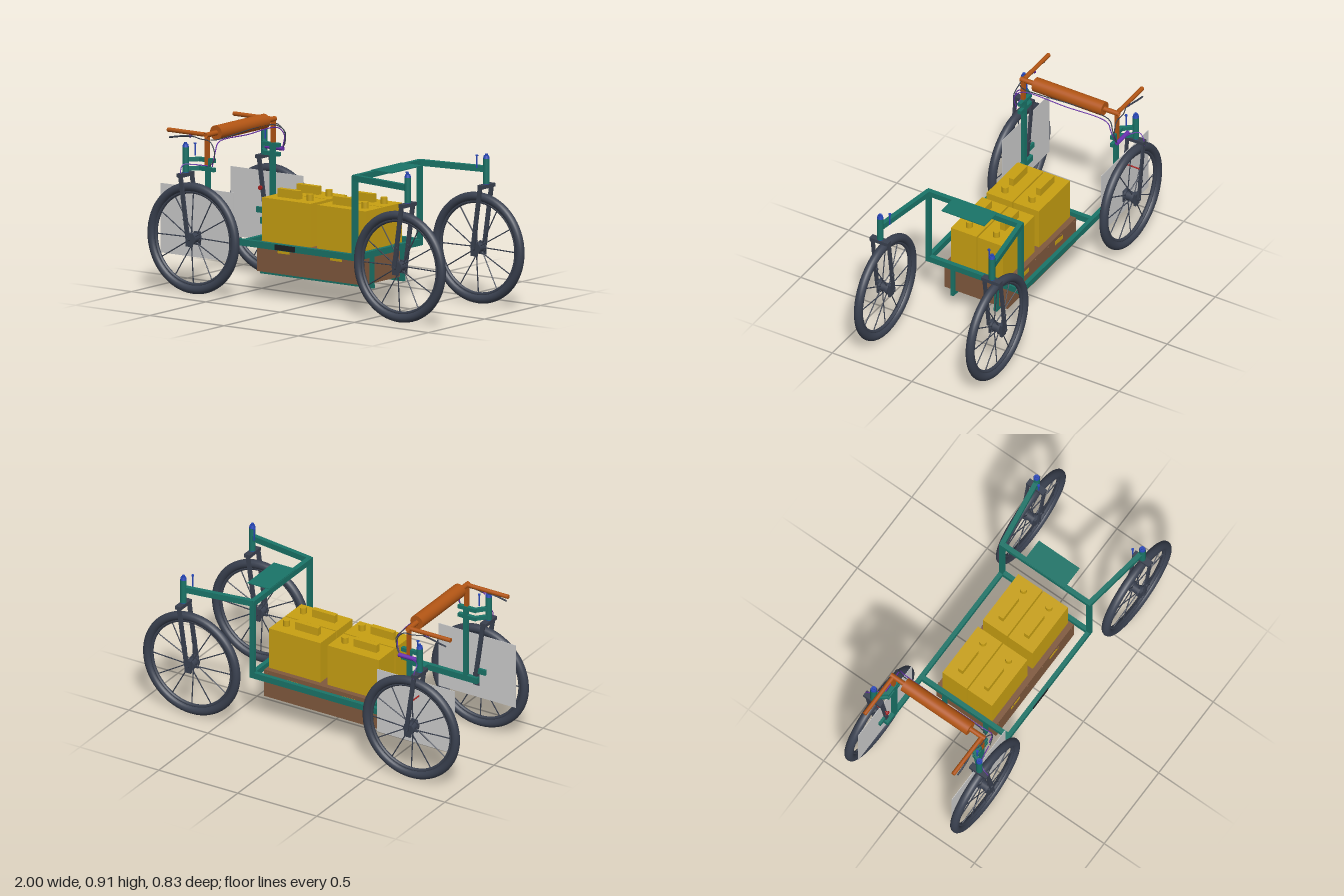
import * as THREE from 'three';

const mat = (color, side = THREE.FrontSide) => new THREE.MeshStandardMaterial({ color, side });
const TEAL = mat(0x1a7468), BROWN = mat(0x80593d), YELLOW = mat(0xc8a012), ORANGE = mat(0xb25514, THREE.DoubleSide);
const DARK = mat(0x3a4150), BLACK = mat(0x1c2024), BLUE = mat(0x2747b8), PURPLE = mat(0x6a30b0), RED = mat(0xa82020);
const GREY = mat(0xcccccc, THREE.DoubleSide);

const V = (a) => new THREE.Vector3(...a);

function add(parent, name, geometry, material, pos = [0, 0, 0]) {
  const m = new THREE.Mesh(geometry, material);
  m.name = name;
  m.position.set(...pos);
  parent.add(m);
  return m;
}

// axis-aligned block given by its minimum and maximum corner
function block(parent, name, material, a, b) {
  const s = b.map((v, i) => Math.abs(v - a[i]));
  return add(parent, name, new THREE.BoxGeometry(...s), material, a.map((v, i) => (v + b[i]) / 2));
}

// square tube between two points
function bar(parent, name, material, a, b, w = 0.03, h = w) {
  const p = V(a), q = V(b);
  const m = add(parent, name, new THREE.BoxGeometry(w, h, p.distanceTo(q)), material,
    p.clone().add(q).multiplyScalar(0.5).toArray());
  m.lookAt(q);
  return m;
}

// round rod between two points
function rod(parent, name, material, a, b, r, r2 = r, seg = 20, open = false) {
  const p = V(a), q = V(b);
  const m = add(parent, name, new THREE.CylinderGeometry(r2, r, p.distanceTo(q), seg, 1, open), material,
    p.clone().add(q).multiplyScalar(0.5).toArray());
  m.quaternion.setFromUnitVectors(new THREE.Vector3(0, 1, 0), q.sub(p).normalize());
  return m;
}

function cable(parent, name, material, points, r = 0.003) {
  const curve = new THREE.CatmullRomCurve3(points.map(V));
  return add(parent, name, new THREE.TubeGeometry(curve, 40, r, 6), material);
}

function wheel() {
  const g = new THREE.Group();
  g.name = 'wheel';
  add(g, 'tyre', new THREE.TorusGeometry(0.28, 0.0245, 16, 64), DARK);
  add(g, 'rim', new THREE.TorusGeometry(0.253, 0.01, 8, 64), DARK);
  rod(g, 'hub', DARK, [0, 0, -0.022], [0, 0, 0.022], 0.026);
  for (const z of [-0.024, 0.024]) rod(g, 'hubFlange', DARK, [0, 0, z - 0.006], [0, 0, z + 0.006], 0.033);
  rod(g, 'axle', DARK, [0, 0, -0.06], [0, 0, 0.06], 0.009);
  for (let i = 0; i < 12; i++) {
    const a = (i / 12) * Math.PI * 2, c = Math.cos(a), s = Math.sin(a);
    rod(g, 'spoke', DARK, [c * 0.025, s * 0.025, i % 2 ? 0.018 : -0.018], [c * 0.256, s * 0.256, 0], 0.0032, 0.0032, 6);
  }
  return g;
}

// wheel with its fork and steering head; sx, sz choose the corner
function corner(parent, sx, sz) {
  const g = new THREE.Group();
  g.name = (sx > 0 ? 'front' : 'rear') + 'WheelAssembly';
  parent.add(g);
  const x = 0.695 * sx, z = 0.351 * sz, hx = 0.748 * sx;
  const w = wheel();
  w.position.set(x, 0.306, z);
  g.add(w);
  block(g, 'forkCrown', DARK, [hx - 0.018, 0.64, z - 0.057], [hx + 0.018, 0.66, z + 0.057]);
  for (const s of [-1, 1]) {
    const lz = z + s * 0.051;
    bar(g, 'forkLeg', DARK, [hx - 0.004 * sx, 0.645, lz], [x, 0.306, lz], 0.011, 0.024);
    block(g, 'dropout', DARK, [x - 0.02, 0.265, lz - s * 0.022], [x + 0.02, 0.338, lz - s * 0.008]);
    rod(g, 'legBolt', DARK, [x + 0.016 * sx, 0.415, lz - 0.011], [x + 0.016 * sx, 0.415, lz + 0.011], 0.01);
  }
  rod(g, 'headTube', TEAL, [hx, 0.663, z], [hx, 0.8, z], 0.018);
  rod(g, 'lowerBearing', BLUE, [hx, 0.657, z], [hx, 0.665, z], 0.017);
  rod(g, 'upperBearing', BLUE, [hx, 0.8, z], [hx, 0.816, z], 0.018, 0.014);
  rod(g, 'capBolt', BLUE, [hx, 0.816, z], [hx, 0.826, z], 0.008);
  rod(g, 'clampPin', BLUE, [hx - 0.035 * sx, 0.75, 0.312 * sz], [hx - 0.035 * sx, 0.822, 0.312 * sz], 0.004);
  rod(g, 'clampPinHead', BLUE, [hx - 0.035 * sx, 0.815, 0.312 * sz], [hx - 0.035 * sx, 0.821, 0.312 * sz], 0.008);
}

function battery(parent, x0, sz, flip) {
  const g = new THREE.Group();
  g.name = 'battery';
  parent.add(g);
  block(g, 'batteryCase', YELLOW, [x0, 0.16, sz * 0.004], [x0 + 0.325, 0.538, sz * 0.164]);
  block(g, 'batteryHandle', YELLOW, [x0 + 0.055, 0.538, sz * 0.085 - 0.015], [x0 + 0.2, 0.584, sz * 0.085 + 0.015]);
  rod(g, 'fillerCap', YELLOW, [x0 + 0.263, 0.538, sz * 0.085], [x0 + 0.263, 0.573, sz * 0.085], 0.019);
}

export function createModel() {
  const model = new THREE.Group();
  for (const sx of [-1, 1]) for (const sz of [-1, 1]) corner(model, sx, sz);

  // main frame
  const frame = new THREE.Group();
  frame.name = 'frame';
  model.add(frame);
  for (const s of [-1, 1]) {
    const z = 0.289 * s;
    block(frame, 'sideRail', TEAL, [-0.655, 0.29, z - 0.012], [0.36, 0.325, z + 0.012]);
    block(frame, 'frontPost', TEAL, [0.333, 0.29, z - 0.012], [0.36, 0.755, z + 0.012]);
    block(frame, 'rearPost', TEAL, [-0.656, 0.29, z - 0.012], [-0.632, 0.735, z + 0.012]);
    bar(frame, 'frontArm', TEAL, [0.345, 0.743, z], [0.742, 0.743, 0.348 * s], 0.026, 0.033);
    // rear steering head brackets
    for (const y of [0.68, 0.73]) {
      bar(frame, 'headBracket', TEAL, [-0.748, y, 0.345 * s], [-0.7, y, z], 0.018, 0.022);
      bar(frame, 'headBracket', TEAL, [-0.71, y, z], [-0.598, y, z], 0.022, 0.022);
    }
    block(frame, 'axleBracket', TEAL, [-0.762, 0.345, s * 0.295], [-0.705, 0.376, s * 0.312]);
    block(frame, 'axleStay', TEAL, [-0.72, 0.29, s * 0.277], [-0.645, 0.325, s * 0.301]);
    // tray cradle under the frame
    const c = 0.136 * s;
    block(frame, 'cradleRail', TEAL, [-0.402, 0.117, c - 0.01], [0.357, 0.138, c + 0.01]);
    for (const x of [-0.392, 0.345]) block(frame, 'cradleHanger', TEAL, [x - 0.01, 0.12, c - 0.01], [x + 0.01, 0.3, c + 0.01]);
    // side guard of the rear wheel
    add(model, 'wheelGuard', new THREE.BoxGeometry(0.49, 0.38, 0.003), GREY, [-0.7, 0.385, 0.311 * s]);
  }
  for (const x of [-0.395, 0.346]) block(frame, 'crossBar', TEAL, [x - 0.013, 0.29, -0.28], [x + 0.013, 0.325, 0.28]);
  block(frame, 'topCrossBar', TEAL, [0.333, 0.727, -0.3], [0.36, 0.759, 0.3]);
  block(frame, 'frontPlatform', TEAL, [0.336, 0.758, -0.138], [0.475, 0.763, 0.132]);
  block(frame, 'controlBox', BLACK, [-0.186, 0.292, 0.29], [-0.05, 0.322, 0.303]);

  // battery tray: floor and four walls
  const tray = new THREE.Group();
  tray.name = 'batteryTray';
  model.add(tray);
  block(tray, 'trayFloor', BROWN, [-0.383, 0.139, -0.197], [0.332, 0.16, 0.197]);
  for (const s of [-1, 1]) {
    block(tray, 'trayWall', BROWN, [-0.383, 0.139, s * 0.166], [0.332, 0.3, s * 0.197]);
    for (const x of [-0.205, 0.15]) block(tray, 'trayHandle', YELLOW, [x - 0.04, 0.252, s * 0.196], [x + 0.04, 0.276, s * 0.199]);
    for (let i = 0; i < 6; i++) rod(tray, 'trayBolt', BROWN, [-0.36 + i * 0.134, 0.285, s * 0.195], [-0.36 + i * 0.134, 0.285, s * 0.202], 0.006, 0.006, 8);
  }
  for (const [a, b] of [[-0.383, -0.374], [0.323, 0.332], [-0.048, -0.004]]) block(tray, 'trayPartition', BROWN, [a, 0.139, -0.19], [b, 0.3, 0.19]);
  for (const s of [-1, 1]) for (const x of [-0.374, -0.003]) battery(model, x, s);

  // push handle: hollow bar with padded roll, two grips and levers
  const handle = new THREE.Group();
  handle.name = 'handlebar';
  model.add(handle);
  const hx = -0.645, hy = 0.868;
  rod(handle, 'crossTube', ORANGE, [hx, hy, -0.31], [hx, hy, 0.31], 0.014, 0.014, 24, true);
  const ring = [[0.015, -0.217], [0.04, -0.217], [0.04, 0.217], [0.015, 0.217]];
  for (let i = 0; i < 3; i++) {
    const seg = ring.slice(i, i + 2).map((p) => new THREE.Vector2(...p));
    add(handle, 'paddedRoll', new THREE.LatheGeometry(seg, 32), ORANGE, [hx, hy, 0]).rotation.x = Math.PI / 2;
  }
  for (const s of [-1, 1]) {
    const z = 0.294 * s;
    bar(handle, 'handlePost', ORANGE, [hx, 0.7, z], [hx, hy - 0.012, z], 0.02);
    rod(handle, 'grip', ORANGE, [-0.91, hy, z], [hx - 0.011, hy, z], 0.012);
    rod(handle, 'leverClamp', PURPLE, [-0.765, 0.845, z], [-0.75, 0.862, z], 0.008);
    cable(handle, 'brakeLever', DARK, [[-0.735, 0.85, z], [-0.79, 0.848, z + s * 0.01], [-0.84, 0.84, z + s * 0.014], [-0.89, 0.83, z + s * 0.014]], 0.005);
    cable(handle, 'leverCable', DARK, [[-0.74, 0.85, z], [-0.68, 0.845, z + s * 0.018], [-0.62, 0.838, z + s * 0.015],
      [-0.585, 0.8, z + s * 0.022], [-0.582, 0.74, z + s * 0.022], [-0.61, 0.705, z + s * 0.028]]);
    cable(model, 'forkCable', PURPLE, [[-0.62, 0.705, 0.32 * s], [-0.71, 0.706, 0.34 * s], [-0.745, 0.706, 0.375 * s],
      [-0.745, 0.675, 0.401 * s], [-0.738, 0.6, 0.404 * s], [-0.705, 0.42, 0.404 * s]]);
  }

  // linkage running across behind the handle, with cable splitter
  cable(model, 'crossCablePurple', PURPLE, [[-0.6, 0.7, 0.31], [-0.578, 0.79, 0.31], [-0.59, 0.829, 0.27], [-0.595, 0.832, 0],
    [-0.59, 0.829, -0.27], [-0.575, 0.79, -0.3], [-0.6, 0.706, -0.318]]);
  cable(model, 'crossCableDark', DARK, [[-0.62, 0.845, 0.3], [-0.604, 0.842, 0.27], [-0.604, 0.842, -0.27], [-0.575, 0.8, -0.31], [-0.6, 0.71, -0.322]]);
  rod(model, 'cableSplitter', PURPLE, [-0.715, 0.707, -0.322], [-0.598, 0.707, -0.322], 0.012);

  // red brake handle
  rod(model, 'parkingPin', RED, [-0.72, 0.486, -0.275], [-0.72, 0.486, -0.4], 0.004);
  rod(model, 'parkingKnob', RED, [-0.72, 0.486, -0.273], [-0.72, 0.486, -0.283], 0.012);
  return model;
}
